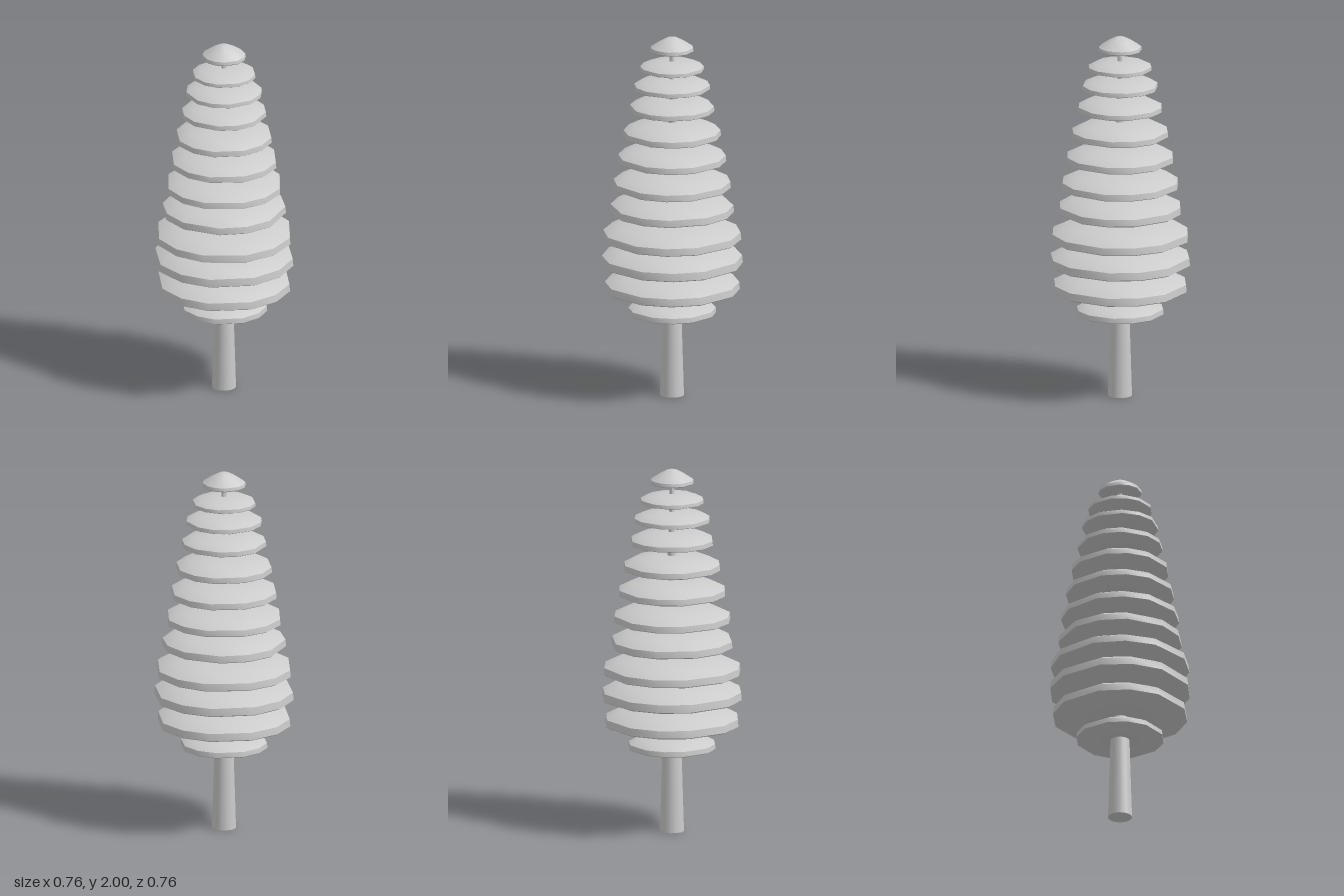
import * as THREE from 'three';
import { toCreasedNormals } from 'three/addons/utils/BufferGeometryUtils.js';

const deg = Math.PI / 180;
const material = new THREE.MeshStandardMaterial({ color: 0xcccccc });

// Corner angles of the slightly uneven twelve-sided tiers
const CORNERS = [0, 37.1, 63.3];
const cornerAngle = (k) => (90 * Math.floor(k / 3) + CORNERS[k % 3]) * deg;

// Fractions of radius and height, from underside to top
const DISC = [[0, 0], [0.97, 0], [1, 0.06], [0.99, 0.42], [0.77, 0.8], [0.33, 1], [0, 1]];
const CAP = [[0, 0], [0.96, 0], [1, 0.06], [0.98, 0.28], [0.55, 0.7], [0.22, 0.95], [0, 1]];

// Bottom, top, corner radius and turn (degrees) of each tier
const TIERS = [
  [0.456, 0.53, 0.238, -94],
  [0.585, 0.695, 0.366, -92],
  [0.73, 0.845, 0.382, -93.8],
  [0.87, 0.975, 0.375, -88],
  [1.02, 1.12, 0.335, -64],
  [1.16, 1.25, 0.319, -87],
  [1.305, 1.39, 0.293, -90],
  [1.445, 1.525, 0.264, -93],
  [1.587, 1.655, 0.23, -61],
  [1.71, 1.767, 0.207, -114],
  [1.815, 1.865, 0.173, -94],
  [1.92, 2.0, 0.118, -108.5],
];

function tierGeometry(bottom, top, radius, turn, profile) {
  const points = profile.map(([r, h]) => new THREE.Vector2(r * radius, bottom + h * (top - bottom)));
  const geometry = new THREE.LatheGeometry(points, 12);
  const position = geometry.attributes.position;
  // Move each column of the lathe to its uneven corner angle
  for (let i = 0; i <= 12; i++) {
    const angle = cornerAngle((12 - i) % 12) + turn * deg;
    points.forEach((p, j) => {
      position.setXYZ(i * points.length + j, p.x * Math.cos(angle), p.y, p.x * Math.sin(angle));
    });
  }
  return toCreasedNormals(geometry, 42 * deg);
}

export function createModel() {
  const tree = new THREE.Group();
  tree.name = 'tree';

  // Tapering trunk running up into the cap
  const outline = [[0, 0], [0.065, 0], [0.05, 0.5], [0.044, 0.85], [0.037, 1.15],
    [0.028, 1.4], [0.021, 1.6], [0.016, 1.75], [0.013, 1.95], [0, 1.95]];
  const trunkGeometry = new THREE.LatheGeometry(outline.map(([r, y]) => new THREE.Vector2(r, y)), 20);
  const trunk = new THREE.Mesh(toCreasedNormals(trunkGeometry, 42 * deg), material);
  trunk.name = 'trunk';
  tree.add(trunk);

  // Foliage discs, the last one being the pointed cap
  const foliage = new THREE.Group();
  foliage.name = 'foliage';
  TIERS.forEach((tier, i) => {
    const isCap = i === TIERS.length - 1;
    const mesh = new THREE.Mesh(tierGeometry(...tier, isCap ? CAP : DISC), material);
    mesh.name = isCap ? 'topCap' : `foliageTier${i + 1}`;
    foliage.add(mesh);
  });
  tree.add(foliage);
  return tree;
}
